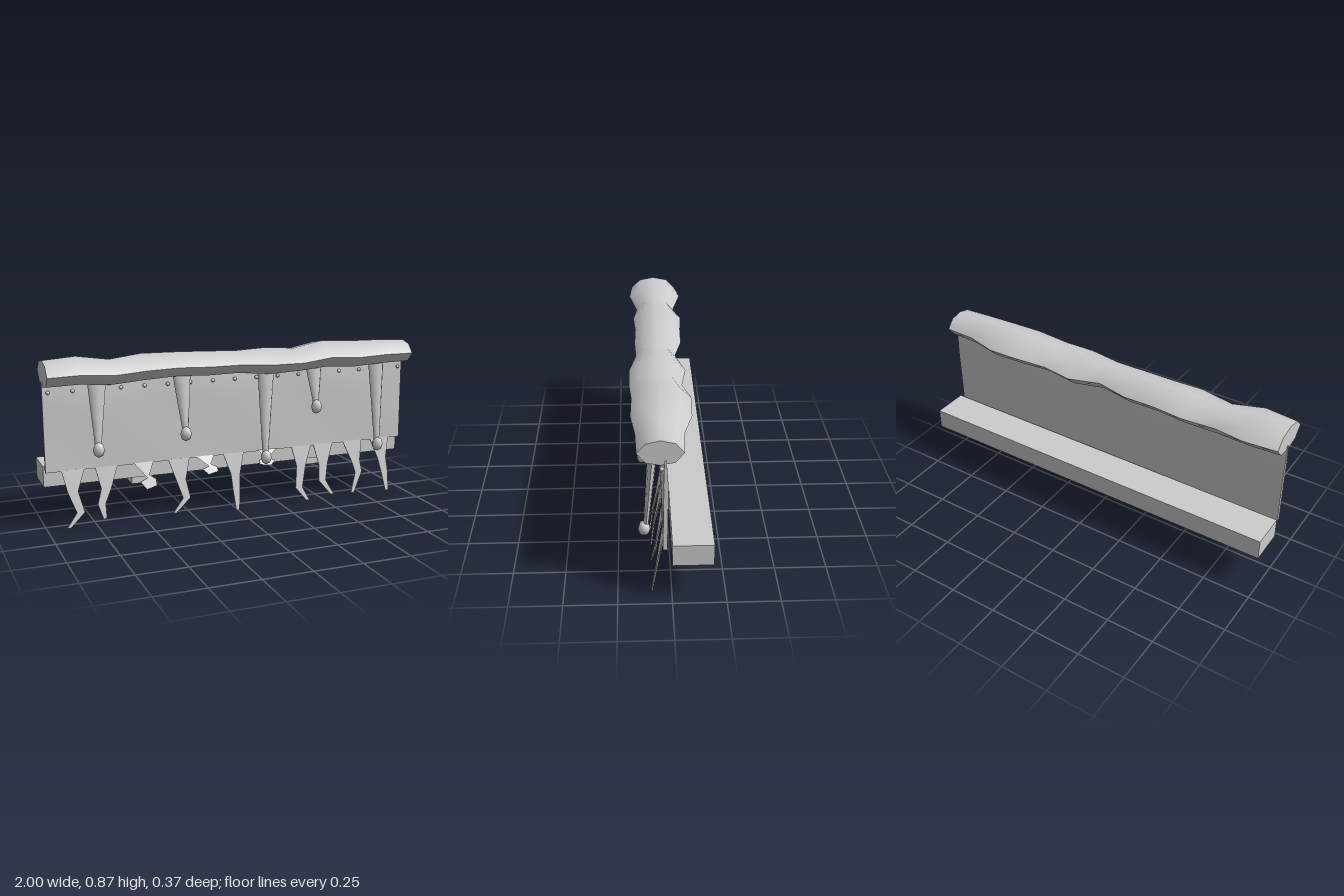
import * as THREE from 'three';
import { toCreasedNormals } from 'three/addons/utils/BufferGeometryUtils.js';

// Skin a row of rings into a closed, creased surface
function loft(rings, crease) {
  const pos = [];
  const n = rings[0].length;
  const tri = (...p) => p.forEach(v => pos.push(v.x, v.y, v.z));
  const centre = r => r.reduce((s, p) => s.add(p), new THREE.Vector3()).divideScalar(n);
  const first = rings[0], last = rings[rings.length - 1];
  const c0 = centre(first), c1 = centre(last);
  for (let j = 0; j < n; j++) {
    const k = (j + 1) % n;
    for (let i = 0; i < rings.length - 1; i++) {
      tri(rings[i][j], rings[i + 1][j], rings[i + 1][k]);
      tri(rings[i][j], rings[i + 1][k], rings[i][k]);
    }
    tri(c0, first[j], first[k]);
    tri(c1, last[k], last[j]);
  }
  const g = new THREE.BufferGeometry();
  g.setAttribute('position', new THREE.Float32BufferAttribute(pos, 3));
  return toCreasedNormals(g, crease);
}

// Thin plate cut to an outline, leaning forward as it hangs
function strip(outline, slope) {
  const shape = new THREE.Shape(outline.map(([x, y]) => new THREE.Vector2(x, y)));
  const g = new THREE.ExtrudeGeometry(shape, { depth: 0.006, bevelEnabled: false });
  const p = g.attributes.position;
  for (let i = 0; i < p.count; i++) p.setZ(i, p.getZ(i) + 0.036 + (0.31 - p.getY(i)) * slope);
  g.computeVertexNormals();
  return g;
}

export function createModel() {
  const model = new THREE.Group();
  const grey = new THREE.MeshStandardMaterial({ color: 0xcccccc });
  grey.name = 'pale grey';
  const add = (name, geometry, x = 0, y = 0, z = 0) => {
    const m = new THREE.Mesh(geometry, grey);
    m.name = name;
    m.position.set(x, y, z);
    model.add(m);
    return m;
  };

  // Uneven eight-sided roll along the top, as edge heights and depths per station
  const back = [-.085, -.108, -.065, -.1, -.09, -.087, -.05, -.095, -.07, -.105, -.1, -.058, -.05];
  const front = [.168, .18, .14, .16, .15, .155, .15, .185, .185, .175, .18, .16, .155];
  const high = [.865, .875, .85, .868, .865, .86, .855, .86, .85, .875, .867, .865, .857];
  const low = [.735, .738, .722, .735, .742, .735, .738, .722, .73, .738, .728, .735, .738];
  const section = [[1, 0], [.62, .75], [0, 1], [-.62, .75], [-1, 0], [-.62, -.8], [0, -1], [.62, -.8]];
  const rollRings = back.map((b, i) => section.map(([u, v]) => new THREE.Vector3(
    -0.99 + 1.98 * i / 12,
    (low[i] + high[i]) / 2 + v * (high[i] - low[i]) / 2,
    (front[i] + b) / 2 + u * (front[i] - b) / 2)));
  add('topRoll', loft(rollRings, 1.05));

  // Gently rippled hanging panel, thinner toward the top
  const panel = new THREE.BoxGeometry(1.99, 0.455, 0.02, 24, 8, 1);
  const p = panel.attributes.position;
  for (let i = 0; i < p.count; i++) {
    const x = p.getX(i), t = p.getY(i) / 0.455 + 0.5;
    const taper = 1 - 3 * Math.max(0, t - 0.8);
    p.setZ(i, p.getZ(i) * taper + 0.004 * Math.sin(x * 9 + t * 2) * Math.sin(Math.PI * t));
  }
  add('panel', toCreasedNormals(panel, 0.7), 0, 0.5325, 0.032);

  // Row of studs below the roll
  for (let i = 0; i < 17; i++) {
    add('stud', new THREE.SphereGeometry(0.01, 8, 6), -0.968 + i * 0.121, 0.707, 0.047);
  }

  // Tapering cords with a bead at the end: top x, bottom x, bead height
  const cords = [[-.735, -.745, .42], [-.3, -.295, .46], [.16, .147, .292], [.435, .435, .54], [.81, .812, .3]];
  for (const [x0, x1, beadY] of cords) {
    const rings = [0, 0.2, 0.4, 0.7, 1].map(t => Array.from({ length: 8 }, (_, j) => {
      const a = j * Math.PI / 4;
      return new THREE.Vector3(
        THREE.MathUtils.lerp(x0, x1, t) + (0.047 - 0.03 * t) * Math.sin(a),
        THREE.MathUtils.lerp(0.755, beadY + 0.025, t),
        THREE.MathUtils.lerp(0.08, 0.115, t) + (0.024 - 0.012 * t) * Math.cos(a));
    }));
    add('cord', loft(rings, 1));
    add('bead', new THREE.SphereGeometry(0.03, 7, 4), x1, beadY, 0.124).scale.y = 1.3;
  }

  // Long bent strips: root x, middle x, bend x and y, tip x and y
  const bends = [
    [-.86, -.868, -.835, .095, -.9, .025], [-.69, -.698, -.727, .125, -.715, .05],
    [-.307, -.303, -.278, .105, -.348, .035], [-.005, 0, 0, .12, 0, .01],
    [.39, .382, .362, .088, .41, .015], [.52, .515, .505, .11, .56, .03],
    [.7, .715, .73, .135, .685, .025], [.87, .88, .893, .12, .902, .015]];
  for (const [rootX, midX, bendX, bendY, tipX, tipY] of bends) {
    const line = [[rootX, 0.31, 0.058], [midX, 0.2, 0.026], [bendX, bendY, 0.02], [tipX, tipY, 0.009]];
    const leftEdge = line.map(([x, y, w]) => [x - w, y]);
    const rightEdge = line.map(([x, y, w]) => [x + w, y]).reverse();
    add('longStrip', strip([...leftEdge, ...rightEdge], 0.18));
  }

  // Short jagged strips from one outline: centre x, width, height, forward slope
  const jag = [[-.5, 0], [.1, -.6], [-.25, -.72], [0, -1], [.5, -.9], [.5, -.66], [.2, -.5], [.5, 0]];
  for (const [x, w, h, slope] of [[-.497, .11, .135, .42], [-.165, .11, .09, .7], [.19, -.12, .08, .7]]) {
    add('shortStrip', strip(jag.map(([u, v]) => [x + u * w, 0.315 + v * h]), slope));
  }

  // Beam behind the panel, with two blocks under it
  add('beam', new THREE.BoxGeometry(2, 0.107, 0.188), 0, 0.2755, -0.093);
  for (const side of [-1, 1]) {
    add('beamBlock', new THREE.BoxGeometry(0.11, 0.04, 0.125), side * 0.49, 0.204, -0.075);
  }
  return model;
}
